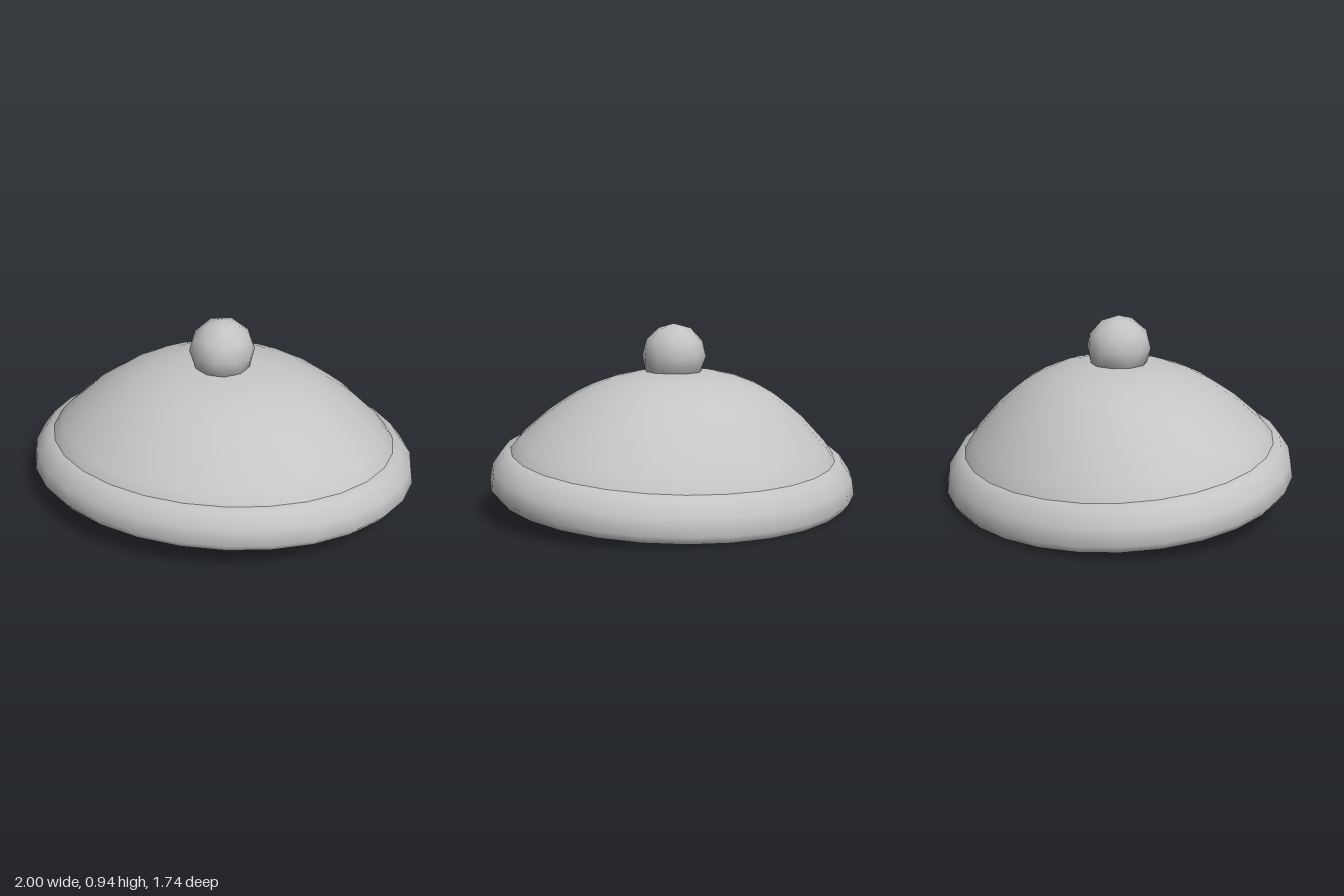
import * as THREE from 'three';
import { mergeVertices } from 'three/addons/utils/BufferGeometryUtils.js';

const DEPTH = 0.872; // z radius relative to x radius
const TILT = 0.091; // rise of the brim towards the front
const LIFT = 0.0775;
const TOP = 0.62; // dome height above the brim plane
const BRIM = 0.205;

// Oval surface of revolution, tilted at the brim and levelling out at the crown
function tiltedLathe(profile) {
  const geo = new THREE.LatheGeometry(profile.map(([r, y]) => new THREE.Vector2(r, y)), 28);
  const p = geo.attributes.position;
  for (let i = 0; i < p.count; i++) {
    const y = p.getY(i);
    const z = p.getZ(i) * DEPTH;
    const level = THREE.MathUtils.clamp((TOP - y) / (TOP - BRIM), 0, 1);
    p.setZ(i, z);
    p.setY(i, y + LIFT + z * TILT * Math.pow(level, 0.7));
  }
  geo.deleteAttribute('uv');
  geo.deleteAttribute('normal');
  const merged = mergeVertices(geo, 1e-4);
  merged.computeVertexNormals();
  return merged;
}

export function createModel() {
  const model = new THREE.Group();
  const grey = new THREE.MeshStandardMaterial({ color: 0xc4c4c4, side: THREE.DoubleSide });
  grey.name = 'light grey';

  const add = (name, geometry, parent = model) => {
    const mesh = new THREE.Mesh(geometry, grey);
    mesh.name = name;
    parent.add(mesh);
    return mesh;
  };

  // Thin dome, tucked a little way into the brim
  add('dome', tiltedLathe([
    [0.905, 0.165], [0.885, 0.21], [0.84, 0.265], [0.78, 0.32], [0.71, 0.385], [0.63, 0.443],
    [0.55, 0.497], [0.46, 0.543], [0.35, 0.583], [0.235, 0.608], [0.12, 0.618], [0, TOP],
  ]));

  // Rolled brim: outside, underside edge and inside wall, with sharp edges between
  const brim = new THREE.Group();
  brim.name = 'brim';
  model.add(brim);
  add('brimOutside', tiltedLathe([[0.965, 0], [0.998, 0.04], [0.985, 0.12], [0.93, 0.195], [0.88, 0.207]]), brim);
  add('brimEdge', tiltedLathe([[0.935, 0], [0.965, 0]]), brim);
  add('brimInside', tiltedLathe([[0.88, 0.165], [0.925, 0.15], [0.95, 0.09], [0.935, 0]]), brim);

  // Faceted-outline ball with a corner pointing straight up
  const ball = new THREE.IcosahedronGeometry(0.165, 1);
  ball.rotateZ(-Math.atan(2 / (1 + Math.sqrt(5))));
  add('topBall', ball).position.set(0, 0.772, 0.012);

  return model;
}
